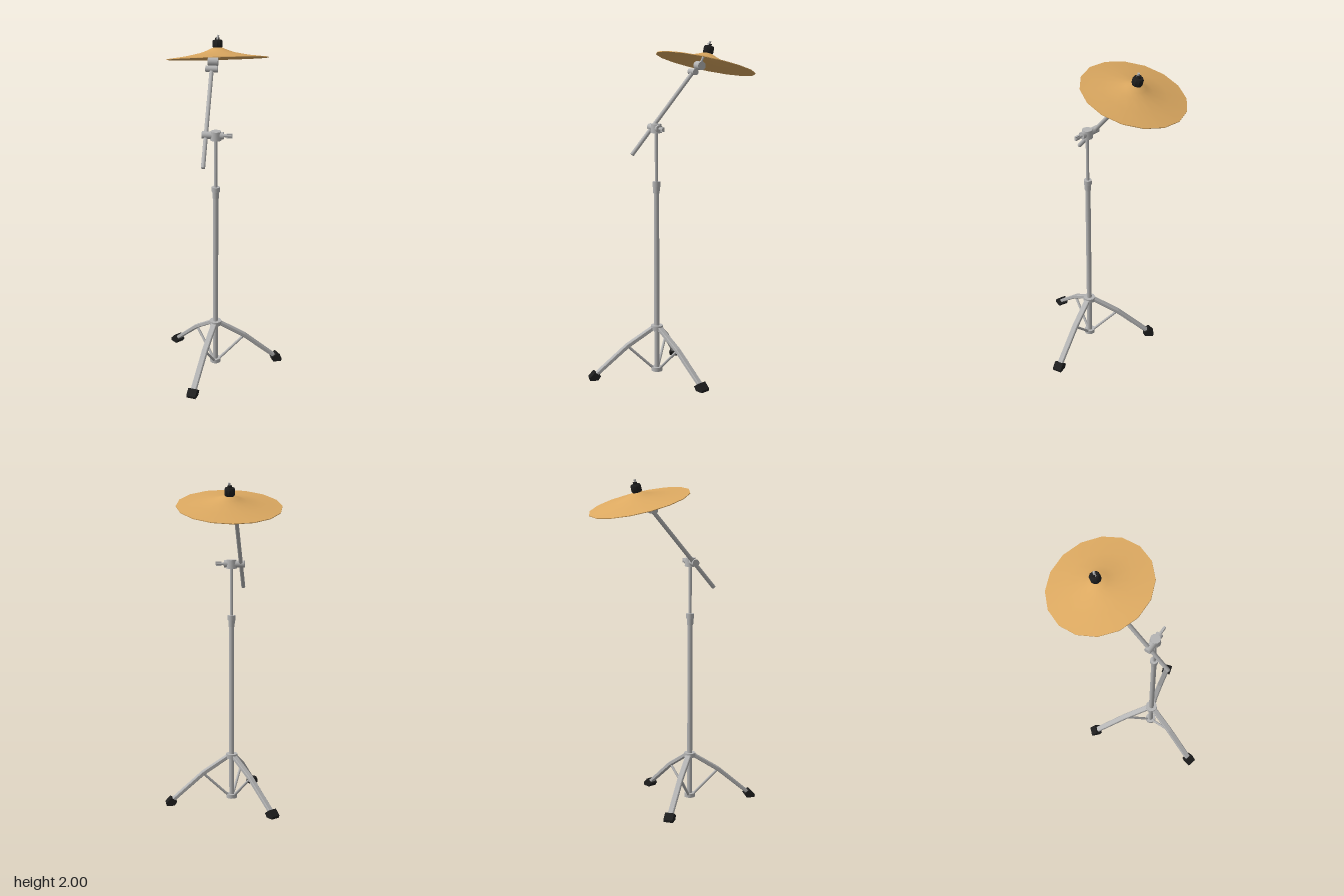
import * as THREE from 'three';
import { toCreasedNormals } from 'three/addons/utils/BufferGeometryUtils.js';

const chrome = new THREE.MeshStandardMaterial({ name: 'chrome', color: 0xb4b4b4 });
const bronze = new THREE.MeshStandardMaterial({ name: 'bronze', color: 0xdba860 });
const rubber = new THREE.MeshStandardMaterial({ name: 'black rubber', color: 0x1e1e1e });

const V = (x, y, z) => new THREE.Vector3(x, y, z);
const UP = V(0, 1, 0);

function add(parent, name, geometry, material) {
  const mesh = new THREE.Mesh(geometry, material);
  mesh.name = name;
  parent.add(mesh);
  return mesh;
}

// Cylinder running from a to b
function rod(parent, name, a, b, r0, r1 = r0, material = chrome, sides = 12) {
  const g = new THREE.CylinderGeometry(r1, r0, a.distanceTo(b), sides);
  const mesh = add(parent, name, g, material);
  mesh.position.copy(a).lerp(b, 0.5);
  mesh.quaternion.setFromUnitVectors(UP, b.clone().sub(a).normalize());
  return mesh;
}

// Side profile (radius, height) extruded to a width centred on z = 0
function slab(points, width, bevel) {
  const shape = new THREE.Shape(points.map(p => new THREE.Vector2(...p)));
  const depth = width - 2 * bevel;
  const g = new THREE.ExtrudeGeometry(shape, {
    depth, bevelEnabled: bevel > 0, bevelSize: bevel, bevelOffset: -bevel,
    bevelThickness: bevel, bevelSegments: 1,
  });
  return g.translate(0, 0, -depth / 2);
}

function lathe(points, sides) {
  const g = new THREE.LatheGeometry(points.map(p => new THREE.Vector2(...p)), sides);
  return toCreasedNormals(g, 0.6);
}

export function createModel() {
  const model = new THREE.Group();
  model.name = 'cymbalStand';

  // Upright column with tripod, about its own axis
  const stand = new THREE.Group();
  stand.name = 'stand';
  stand.position.set(0.105, 0, 0.08);
  model.add(stand);
  const column = (name, y0, y1, r0, r1) => rod(stand, name, V(0, y0, 0), V(0, y1, 0), r0, r1);
  column('lowerTube', 0.03, 1.14, 0.016);
  column('upperTube', 1.14, 1.5, 0.0095);
  column('heightCollar', 1.12, 1.165, 0.019, 0.021);
  column('heightCollarRim', 1.16, 1.19, 0.024);
  column('legHub', 0.285, 0.312, 0.037);
  column('braceHub', 0.025, 0.05, 0.033);

  // Three legs with braces and rubber feet
  const legShape = slab([[0.02, 0.285], [0.175, 0.185], [0.365, 0.025],
    [0.378, 0.042], [0.188, 0.206], [0.02, 0.312]], 0.034, 0.004);
  const footShape = slab([[0.366, 0], [0.415, 0], [0.419, 0.016],
    [0.386, 0.05], [0.35, 0.024]], 0.056, 0);
  for (let i = 0; i < 3; i++) {
    const leg = new THREE.Group();
    leg.name = 'legAssembly' + (i + 1);
    leg.rotation.y = -THREE.MathUtils.degToRad(-50.5 + i * 120);
    stand.add(leg);
    add(leg, 'leg', legShape, chrome);
    add(leg, 'foot', footShape, rubber);
    rod(leg, 'brace', V(0.02, 0.04, 0), V(0.182, 0.194, 0), 0.008);
  }

  // Boom clamp across the top of the column, with a wing bolt
  const side = V(0.83, 0, -0.56).normalize();
  const top = V(0, 1.505, 0);
  const along = d => top.clone().addScaledVector(side, d);
  rod(stand, 'clampHead', V(0, 1.478, 0), V(0, 1.53, 0), 0.034, 0.03);
  rod(stand, 'clampBarrel', along(-0.08), along(0.045), 0.022);
  rod(stand, 'wingBolt', along(0.04), along(0.092), 0.009);
  const wing = add(stand, 'wing', new THREE.BoxGeometry(0.035, 0.026, 0.012), chrome);
  wing.position.copy(along(0.078));
  wing.rotation.y = Math.atan2(-side.z, side.x);

  // Angled boom arm
  const low = V(0.13, 1.35, 0.22), high = V(-0.1, 1.83, -0.12);
  rod(model, 'boomArm', low, high, 0.0125);

  // Tilter: cross clamp, round joint and threaded rod
  const across = (name, c, half, r) => rod(model, name,
    c.clone().addScaledVector(side, -half), c.clone().addScaledVector(side, half), r, r, chrome, 16);
  const joint = V(-0.116, 1.857, -0.15);
  across('tilterClamp', V(-0.095, 1.822, -0.113), 0.036, 0.019);
  across('tilterJoint', joint, 0.03, 0.026);
  const tip = V(-0.131, 2.0, -0.212);
  rod(model, 'cymbalRod', joint, tip, 0.007);

  // Tilted cymbal with felt and nut
  const cymbal = new THREE.Group();
  cymbal.name = 'cymbalAssembly';
  cymbal.position.set(-0.112, 1.87, -0.187);
  cymbal.quaternion.setFromUnitVectors(UP, V(-0.2, 1, -0.19).normalize());
  model.add(cymbal);
  add(cymbal, 'cymbal', lathe([[0, 0.06], [0.03, 0.056], [0.06, 0.042], [0.1, 0.028],
    [0.19, 0.01], [0.303, -0.004], [0.303, 0], [0.19, 0.014], [0.1, 0.032],
    [0.06, 0.046], [0.03, 0.06], [0, 0.064]], 16), bronze);
  add(cymbal, 'felt', lathe([[0, 0.058], [0.026, 0.058], [0.031, 0.068], [0.031, 0.098],
    [0.026, 0.106], [0, 0.106]], 10), rubber);
  add(cymbal, 'nut', new THREE.CylinderGeometry(0.012, 0.014, 0.014, 8), rubber)
    .position.y = 0.112;

  return model;
}
